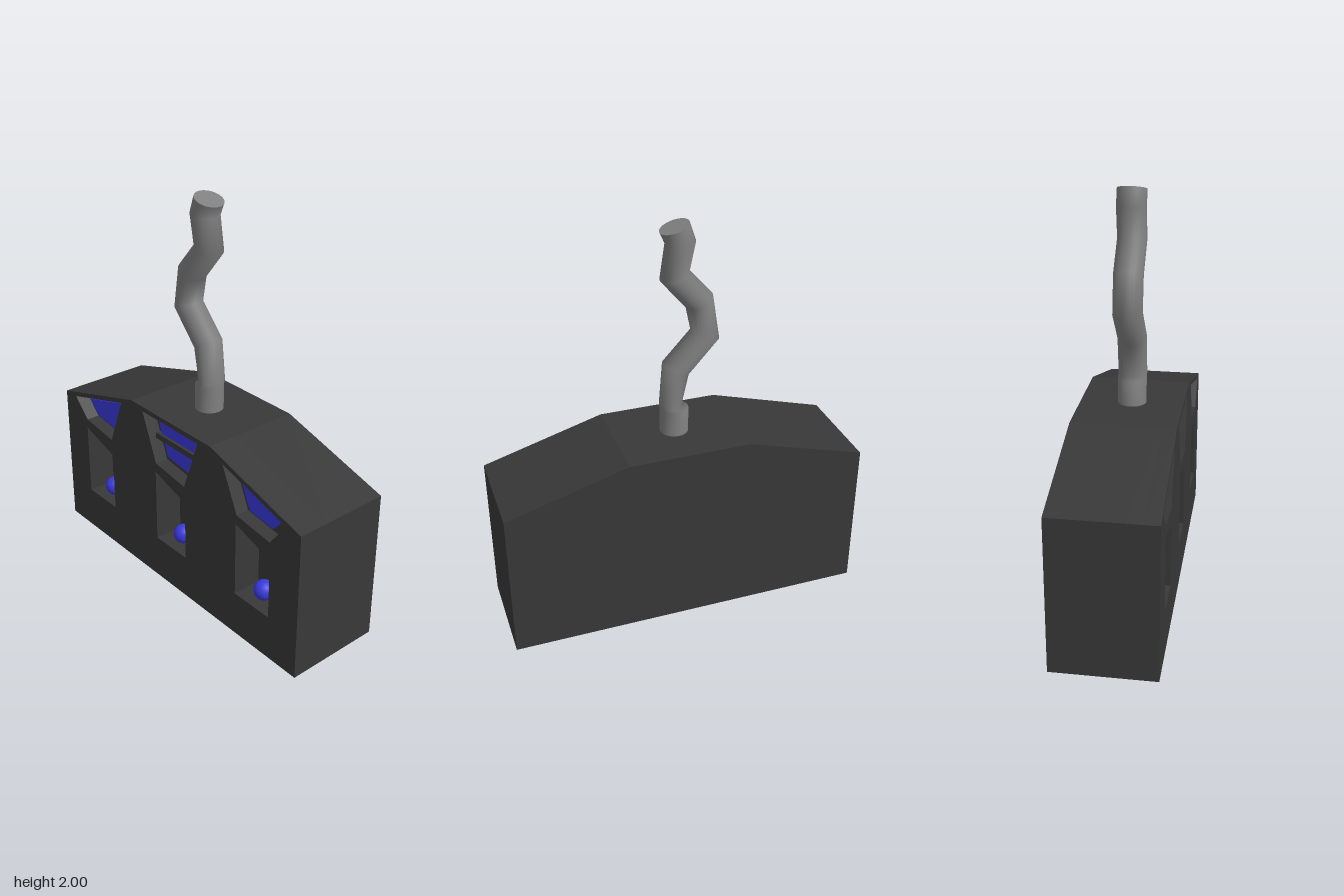
import * as THREE from 'three';

const dark = new THREE.MeshStandardMaterial({ color: 0x383838 });
const grey = new THREE.MeshStandardMaterial({ color: 0x808080 });
const blue = new THREE.MeshStandardMaterial({ color: 0x3a3ae0 });

const points = (list) => list.map(([z, y]) => new THREE.Vector2(z, y));
const roof = (z) => 0.945 - 0.175 * Math.max(0, Math.abs(z) - 0.3) / 0.6;
const bays = [-0.6, 0, 0.6];

// Lower doorway and upper tapered window of one bay, as [z, y] outlines
const doorway = (c) => points([[c - 0.115, 0.23], [c + 0.115, 0.23], [c + 0.115, 0.55], [c - 0.115, 0.62]]);
const windowOutline = (c) => points([
  [c - 0.11, 0.67], [c + 0.11, 0.64],
  [c + 0.21, roof(c + 0.21) - 0.025], [c - 0.21, roof(c - 0.21) - 0.025],
]);

// Extrude a z-y outline between two x positions
function slab(name, outline, holes, xMin, xMax, material) {
  const shape = new THREE.Shape(outline);
  shape.holes = holes.map((h) => new THREE.Path(h));
  const geometry = new THREE.ExtrudeGeometry(shape, { depth: xMax - xMin, bevelEnabled: false });
  geometry.rotateY(-Math.PI / 2).translate(xMax, 0, 0);
  const mesh = new THREE.Mesh(geometry, material);
  mesh.name = name;
  return mesh;
}

// Crooked pipe through slanted rings: [front z, front y, back z, back y]
function crookedPipe() {
  const rings = [
    [0.07, 0.93, -0.07, 0.93],
    [0.07, 1.07, -0.07, 1.07],
    [0.07, 1.10, -0.03, 1.08],
    [0.055, 1.31, -0.07, 1.25],
    [-0.085, 1.46, -0.22, 1.415],
    [-0.06, 1.58, -0.185, 1.64],
    [0.065, 1.73, -0.07, 1.77],
    [0.04, 1.90, -0.10, 1.91],
    [0.065, 1.955, -0.07, 2.0],
  ];
  const sides = 24;
  const positions = [];
  const index = [];
  const ringPoint = ([zf, yf, zb, yb], i) => {
    const a = (i / sides) * Math.PI * 2;
    const t = (1 + Math.cos(a)) / 2;
    return [0.07 * Math.sin(a), yb + (yf - yb) * t, zb + (zf - zb) * t];
  };
  rings.forEach((ring, r) => {
    for (let i = 0; i < sides; i++) {
      positions.push(...ringPoint(ring, i));
      if (r === 0) continue;
      const j = (i + 1) % sides;
      const a = (r - 1) * sides + i, b = (r - 1) * sides + j;
      index.push(a, b, b + sides, a, b + sides, a + sides);
    }
  });
  // Separate flat cap keeps a sharp rim
  const top = rings[rings.length - 1];
  const start = positions.length / 3;
  for (let i = 0; i < sides; i++) {
    positions.push(...ringPoint(top, i));
    if (i > 1) index.push(start, start + i - 1, start + i);
  }
  const geometry = new THREE.BufferGeometry();
  geometry.setAttribute('position', new THREE.Float32BufferAttribute(positions, 3));
  geometry.setIndex(index);
  geometry.computeVertexNormals();
  const mesh = new THREE.Mesh(geometry, grey);
  mesh.name = 'crookedPipe';
  return mesh;
}

export function createModel() {
  const model = new THREE.Group();
  model.name = 'blockWithPipe';

  // Body in three layers, so the doorways are recessed deeper than the windows
  const profile = points([[-0.9, 0], [0.9, 0], [0.9, 0.77], [0.3, 0.945], [-0.3, 0.945], [-0.9, 0.77]]);
  const doors = bays.map(doorway);
  const windows = bays.map(windowOutline);
  model.add(
    slab('bodyCore', profile, [], -0.1, 0.25, dark),
    slab('doorwayLayer', profile, doors, -0.18, -0.1, dark),
    slab('facePanel', profile, [...doors, ...windows], -0.25, -0.18, dark),
  );

  // Blue pane in each window and a ball in each doorway
  bays.forEach((c, k) => {
    const centre = windows[k].reduce((s, p) => s.add(p), new THREE.Vector2()).multiplyScalar(0.25);
    const paneOutline = windows[k].map((p) => p.clone().sub(centre).multiplyScalar(0.7).add(centre));
    model.add(slab('windowPane', paneOutline, [], -0.2, -0.17, blue));

    const ball = new THREE.Mesh(new THREE.SphereGeometry(0.05, 16, 12), blue);
    ball.name = 'doorwayBall';
    ball.position.set(-0.17, 0.28, c);
    model.add(ball);
  });

  // Dark bar across the middle window
  const bar = new THREE.Mesh(new THREE.BoxGeometry(0.03, 0.03, 0.3), dark);
  bar.name = 'windowBar';
  bar.position.set(-0.2, 0.8, 0);
  model.add(bar);

  model.add(crookedPipe());
  return model;
}
